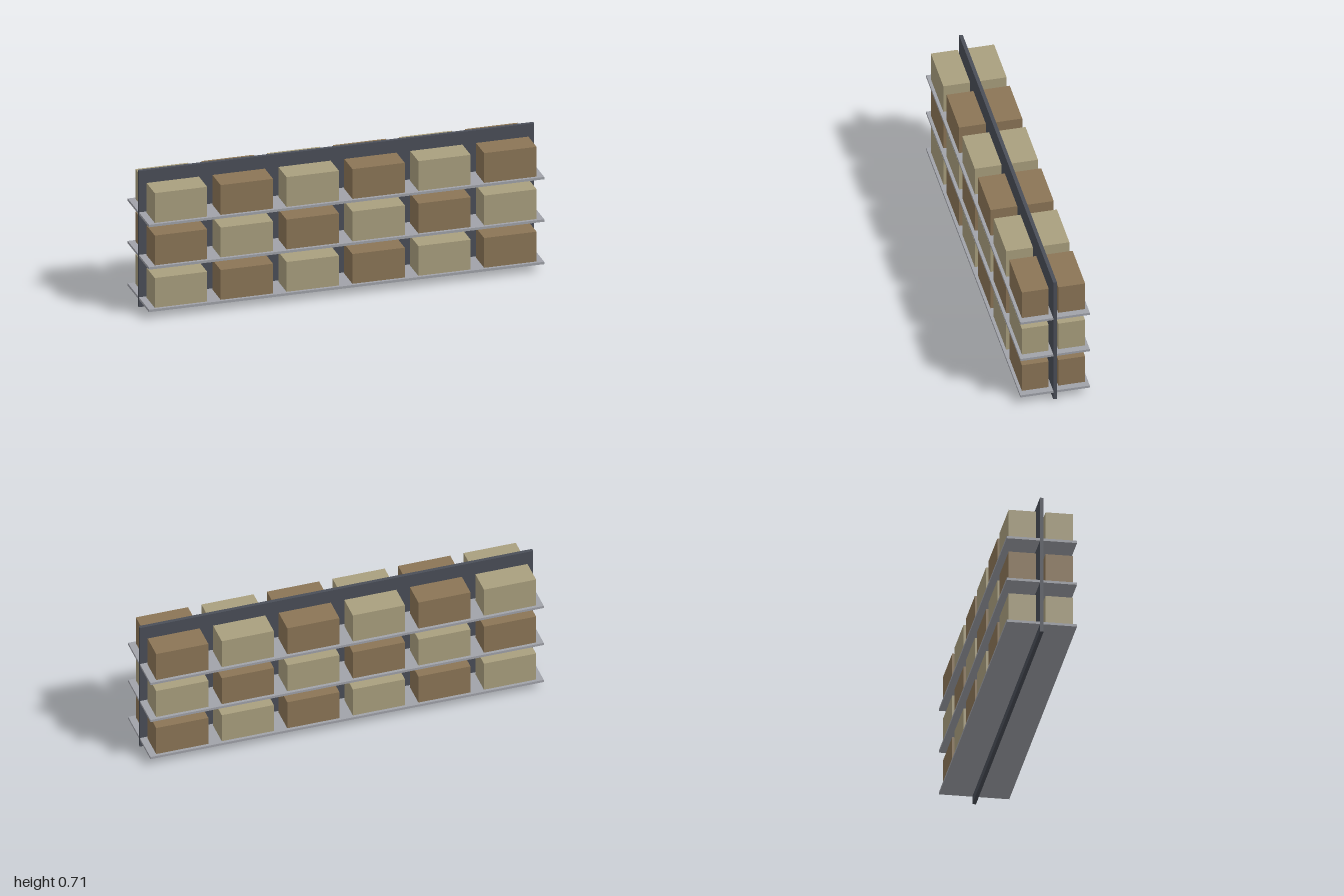
import * as THREE from 'three';

const mat = (name, color) => {
  const m = new THREE.MeshStandardMaterial({ color });
  m.name = name;
  return m;
};

export function createModel() {
  const model = new THREE.Group();
  model.name = 'doubleSidedShelf';

  const panelMat = mat('darkSteel', 0x4a4e58);
  const shelfMat = mat('greyMetal', 0xa0a2a9);
  const tanMat = mat('tanCard', 0xa99f7e);
  const brownMat = mat('brownCard', 0x8b7556);

  // Box given by its size, centre x, base y and centre z
  const addBox = (name, material, [w, h, d], x, y, z) => {
    const mesh = new THREE.Mesh(new THREE.BoxGeometry(w, h, d), material);
    mesh.name = name;
    mesh.position.set(x, y + h / 2, z);
    model.add(mesh);
  };

  // Central upright panel
  const panelHalf = 0.009;
  addBox('backPanel', panelMat, [2, 0.713, panelHalf * 2], 0, 0, 0);

  // Three shelf levels on both sides, six cartons each, in alternating colours
  const shelfDepth = 0.163, shelfThick = 0.0125, columns = 6;
  for (const side of [1, -1]) {
    for (let row = 0; row < 3; row++) {
      const y = 0.0395 + row * 0.2225;
      addBox('shelf', shelfMat, [2, shelfThick, shelfDepth], 0, y, side * (panelHalf + shelfDepth / 2));
      for (let i = 0; i < columns; i++) {
        const x = -1 + (i + 0.5) * 2 / columns;
        addBox('carton', (row + i) % 2 ? brownMat : tanMat, [0.265, 0.156, 0.133], x, y + shelfThick, side * 0.0903);
      }
    }
  }
  return model;
}
